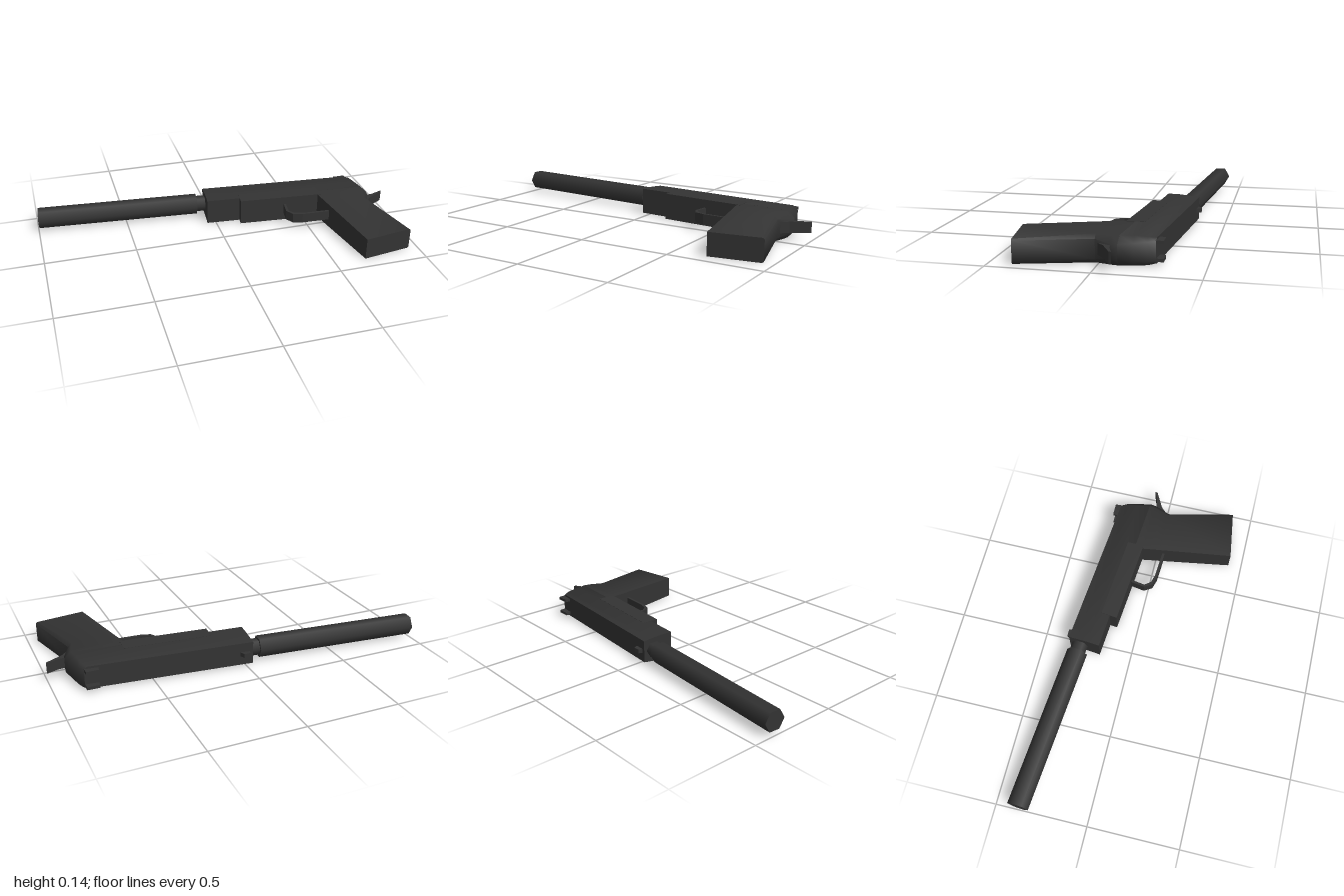
import * as THREE from 'three';
import { toCreasedNormals } from 'three/addons/utils/BufferGeometryUtils.js';

const MID = 0.073; // height of the centre plane; the model lies on its side

// Lofts rows running along z: [frontX, frontZ, rearX, rearZ, lowY, highY, rearChamfer]
function loft(rows) {
  const rings = rows.map(([xf, zf, xr, zr, y0, y1, c]) => {
    const zc = zr + (zf - zr) * (c / (xr - xf));
    return [
      [xf, y0, zf], [xf, y1, zf], [xr - c, y1, zc],
      [xr, y1 - c, zr], [xr, y0 + c, zr], [xr - c, y0, zc],
    ];
  });
  const n = 6, pos = [];
  const tri = (a, b, c) => pos.push(...a, ...b, ...c);
  for (let k = 0; k < rings.length - 1; k++) {
    for (let i = 0; i < n; i++) {
      const j = (i + 1) % n, A = rings[k], B = rings[k + 1];
      tri(A[i], B[i], A[j]);
      tri(A[j], B[i], B[j]);
    }
  }
  const first = rings[0], last = rings[rings.length - 1];
  for (let i = 1; i < n - 1; i++) {
    tri(first[0], first[i], first[i + 1]);
    tri(last[0], last[i + 1], last[i]);
  }
  const geo = new THREE.BufferGeometry();
  geo.setAttribute('position', new THREE.Float32BufferAttribute(pos, 3));
  geo.computeVertexNormals();
  return toCreasedNormals(geo, 0.9);
}

// Flat outline in x, z raised between two heights
function slab(points, y0, y1) {
  const shape = new THREE.Shape(points.map(([x, z]) => new THREE.Vector2(x, -z)));
  const geo = new THREE.ExtrudeGeometry(shape, { depth: y1 - y0, bevelEnabled: false });
  return geo.rotateX(-Math.PI / 2).translate(0, y0, 0);
}

// Six-sided tube between two points on the centre plane
function hexTube(x0, z0, x1, z1, radius) {
  const geo = new THREE.CylinderGeometry(radius, radius, Math.hypot(x1 - x0, z1 - z0), 6);
  geo.rotateZ(-Math.PI / 2); // axis along x, corners pointing along z
  geo.rotateY(-Math.atan2(z1 - z0, x1 - x0));
  return geo.translate((x0 + x1) / 2, MID, (z0 + z1) / 2);
}

export function createModel() {
  const model = new THREE.Group();
  const gunmetal = new THREE.MeshStandardMaterial({ color: 0x333333 });
  gunmetal.name = 'gunmetal';
  const add = (name, geo) => {
    const mesh = new THREE.Mesh(geo, gunmetal);
    mesh.name = name;
    model.add(mesh);
  };

  // Barrel parts
  add('suppressor', hexTube(-0.994, -0.373, -0.088, -0.293, 0.058));
  add('barrelNeck', hexTube(-0.1, -0.294, -0.02, -0.287, 0.045));

  // Slide, narrower along its top
  add('slide', loft([
    [-0.035, -0.35, 0.85, -0.268, 0.012, 0.134, 0.015],
    [-0.038, -0.305, 0.872, -0.232, 0.006, 0.139, 0.02],
    [-0.043, -0.24, 0.888, -0.17, 0.001, 0.144, 0.03],
    [-0.05, -0.175, 0.905, -0.1, 0.001, 0.144, 0.035],
  ]));

  // Frame rail under the slide
  add('rail', slab([[0.145, -0.21], [0.135, -0.12], [0.61, -0.078], [0.61, -0.17]], 0, 0.145));

  // Grip with the rounded back strap
  add('grip', loft([
    [0.58, -0.14, 0.905, -0.1, 0.001, 0.144, 0.035],
    [0.59, -0.08, 0.9, -0.065, 0.001, 0.143, 0.035],
    [0.607, 0.02, 0.86, 0.015, 0, 0.138, 0.02],
    [0.675, 0.425, 0.95, 0.385, 0, 0.12, 0.008],
  ]));

  // Trigger guard loop
  add('triggerGuard', slab([
    [0.39, -0.11], [0.376, -0.02], [0.402, 0.024], [0.455, 0.04], [0.63, 0.05],
    [0.63, 0.036], [0.46, 0.026], [0.415, 0.012], [0.39, -0.02], [0.404, -0.11],
  ], 0.045, 0.1));

  // Hammer with its spur
  add('hammer', slab([
    [0.87, -0.09], [0.9, -0.068], [0.935, -0.072], [1, -0.095],
    [0.995, -0.082], [0.905, -0.035], [0.87, 0],
  ], 0.045, 0.103));

  // Sights
  add('frontSight', slab([[-0.025, -0.33], [-0.01, -0.37], [0.025, -0.37], [0.04, -0.33]], 0.062, 0.084));
  for (const y of [0.03, 0.115]) {
    add('rearSight', slab([[0.775, -0.25], [0.782, -0.303], [0.848, -0.303], [0.85, -0.25]], y - 0.008, y + 0.008));
  }

  return model;
}
